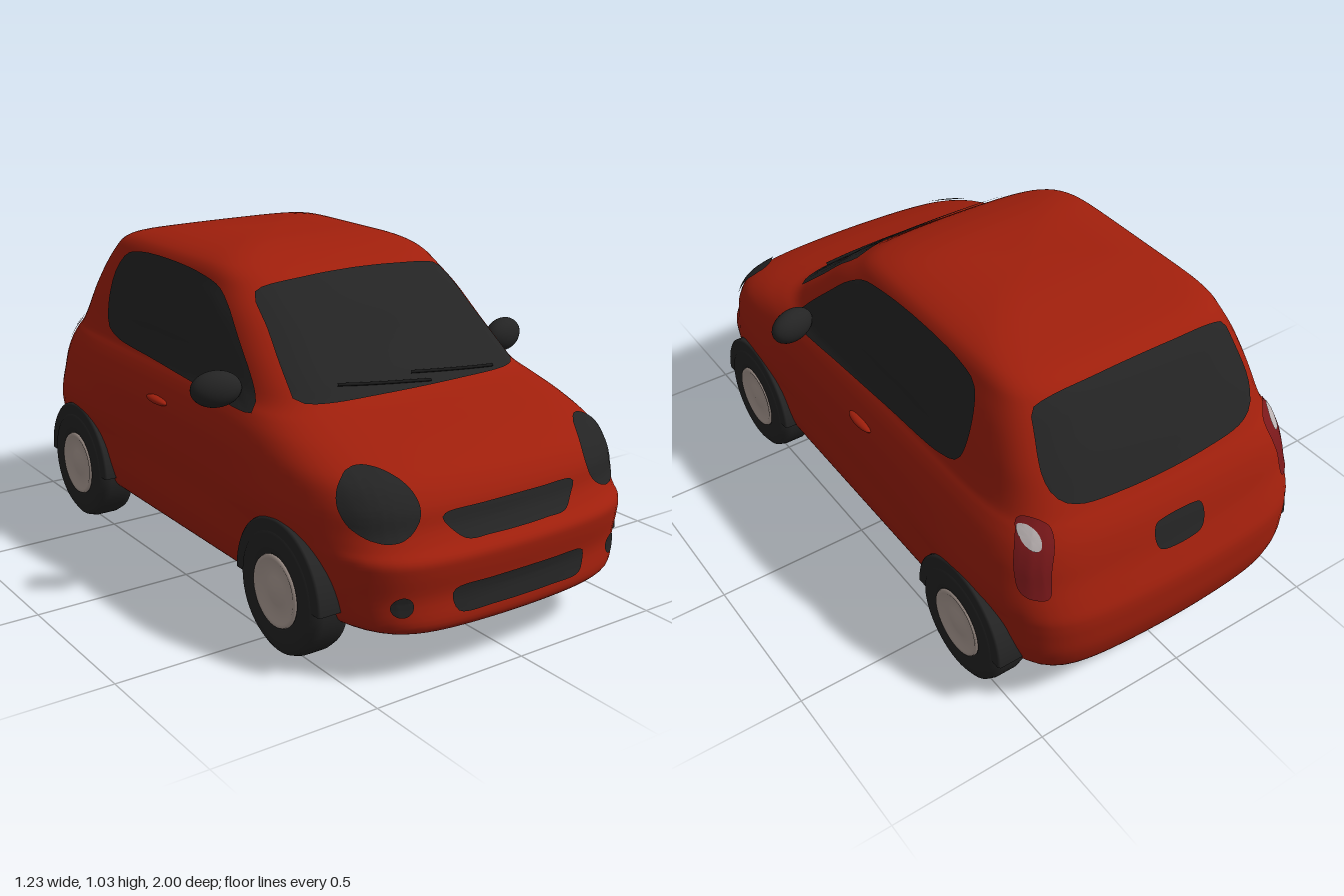
import * as THREE from 'three';

const mat = (name, color) => {
  const m = new THREE.MeshStandardMaterial({ color });
  m.name = name;
  return m;
};

export function createModel() {
  const car = new THREE.Group();
  car.name = 'smallCar';
  const paint = mat('red paint', 0xa01f0c);
  const dark = mat('dark glass and rubber', 0x242424);
  const black = mat('black trim', 0x191919);
  const alloy = mat('wheel alloy', 0xb0a098);
  const lampRed = mat('lamp red', 0x7a181a);
  const lampClear = mat('lamp clear', 0xbcb4b4);

  const add = (name, geo, material, parent = car) => {
    const m = new THREE.Mesh(geo, material);
    m.name = name;
    parent.add(m);
    return m;
  };
  const surface = (pos, idx) => {
    const g = new THREE.BufferGeometry();
    g.setAttribute('position', new THREE.Float32BufferAttribute(pos, 3));
    g.setIndex(idx);
    g.computeVertexNormals();
    return g;
  };

  // Body: horizontal slices, each [height, front z, back z, half width]
  const rows = [
    [.125, .945, -.91, .44], [.14, .98, -.95, .475], [.17, .995, -.975, .505],
    [.24, .985, -.995, .525], [.31, .995, -1.0, .53], [.35, .995, -1.0, .532],
    [.38, .965, -.995, .535], [.42, .94, -.98, .537], [.48, .922, -.957, .535],
    [.54, .87, -.94, .53], [.59, .76, -.922, .515], [.63, .64, -.90, .495],
    [.66, .555, -.88, .477], [.71, .49, -.853, .462], [.78, .40, -.815, .447],
    [.86, .305, -.765, .425], [.92, .225, -.725, .40], [.96, .165, -.685, .38],
    [.985, .10, -.62, .35], [1.005, .03, -.50, .29], [1.02, -.06, -.38, .19],
    [1.028, -.20, -.26, .03],
  ];
  const [frontCurve, backCurve, widthCurve] = [1, 2, 3].map(
    (k) => new THREE.SplineCurve(rows.map((r) => new THREE.Vector2(r[0], r[k]))));
  const N = 144, M = 84;
  const FRONT_AXLE = .6, REAR_AXLE = -.65;
  const pos = [], idx = [];
  for (let i = 0; i <= M; i++) {
    const t = i / M;
    const { x: y, y: front } = frontCurve.getPoint(t);
    const back = backCurve.getPoint(t).y, w = widthCurve.getPoint(t).y;
    const zc = (front + back) / 2, len = (front - back) / 2;
    for (let j = 0; j < N; j++) {
      // rounded rectangle in plan, with bowed ends
      const a = (j / N) * Math.PI * 2, c = Math.cos(a), s = Math.sin(a);
      const [n, bow] = s > 0 ? [6.5, .05] : [7.5, .04];
      const r = (Math.abs(c) ** n + Math.abs(s) ** n) ** (-1 / n);
      const u = c * r, v = s * r;
      const z = zc + len * (v - bow * u * u * v * Math.abs(v));
      // swell over the wheels
      const near = Math.min(Math.abs(z - FRONT_AXLE), Math.abs(z - REAR_AXLE));
      const swell = .016 * Math.exp(-((near / .22) ** 2) - ((y - .42) / .1) ** 2);
      pos.push(u * (w + swell), y, z);
    }
  }
  for (let i = 0; i < M; i++) {
    for (let j = 0; j < N; j++) {
      const a = i * N + j, b = i * N + (j + 1) % N;
      idx.push(a, a + N, b, b, a + N, b + N);
    }
  }
  const top = pos.length / 3;
  pos.push(0, 1.028, -.23);
  for (let j = 0; j < N; j++) idx.push(top, M * N + (j + 1) % N, M * N + j);
  const body = add('body', surface(pos, idx), paint);

  // Floor closes the lowest slice
  const floorPos = [...pos.slice(0, N * 3), 0, .125, 0], floorIdx = [];
  for (let j = 0; j < N; j++) floorIdx.push(N, j, (j + 1) % N);
  add('floor', surface(floorPos, floorIdx), black);

  // Point on the body at (u, v), seen along an axis from the given side
  const ray = new THREE.Raycaster();
  body.updateMatrixWorld();
  const project = (u, v, axis, side, lift) => {
    const onX = axis === 'x';
    ray.set(new THREE.Vector3(onX ? 3 * side : u, v, onX ? u : 3 * side),
      new THREE.Vector3(onX ? -side : 0, 0, onX ? 0 : -side));
    const hit = ray.intersectObject(body)[0];
    return hit && hit.point.clone().addScaledVector(hit.face.normal, lift);
  };

  // Thin panel with a smooth outline, laid on the body in rings
  const panel = (name, pts, axis, side, material, lift = .005, rings = 8) => {
    const curve = new THREE.CatmullRomCurve3(
      pts.map(([u, v]) => new THREE.Vector3(u, v, 0)), true, 'centripetal');
    const outline = curve.getSpacedPoints(72).slice(0, -1);
    const n = outline.length;
    const mid = outline.reduce((s, p) => s.add(p), new THREE.Vector3()).divideScalar(n);
    const flip = (axis === 'z' ? side < 0 : side > 0) !== THREE.ShapeUtils.isClockWise(outline);
    const p = [], f = [];
    p.push(...project(mid.x, mid.y, axis, side, lift).toArray());
    for (let r = 1; r <= rings; r++) {
      for (const o of outline) {
        let k = r / rings, q;
        do {
          q = project(mid.x + (o.x - mid.x) * k, mid.y + (o.y - mid.y) * k, axis, side, lift);
          k *= .98;
        } while (!q && k > .01);
        p.push(...q.toArray());
      }
    }
    const tri = (a, b, c) => (flip ? f.push(a, c, b) : f.push(a, b, c));
    for (let j = 0; j < n; j++) {
      const k = (j + 1) % n;
      tri(0, 1 + j, 1 + k);
      for (let r = 0; r < rings - 1; r++) {
        const a = 1 + r * n + j, b = 1 + r * n + k;
        tri(a, a + n, b);
        tri(b, a + n, b + n);
      }
    }
    return add(name, surface(p, f), material);
  };
  // Completes an outline from its right half
  const both = (half) => [...half, ...half.slice().reverse().map(([u, v]) => [-u, v])];
  const oval = (cx, cy, rx, ry) => Array.from({ length: 12 }, (_, i) => {
    const a = (i / 12) * Math.PI * 2;
    return [cx + rx * Math.cos(a), cy + ry * Math.sin(a)];
  });

  // Glass and openings at front and back
  panel('windscreen', both([[.15, .667], [.38, .667], [.398, .671], [.395, .70], [.367, .83],
    [.35, .91], [.33, .928], [.15, .948]]), 'z', 1, dark, .005, 12);
  panel('rearWindow', both([[.15, .672], [.30, .685], [.345, .71], [.365, .76], [.35, .87],
    [.335, .92], [.29, .938], [.12, .948]]), 'z', -1, dark, .005, 10);
  panel('upperGrille', both([[.1, .378], [.18, .382], [.215, .41], [.238, .445], [.225, .455],
    [.1, .459]]), 'z', 1, dark, .004);
  panel('lowerIntake', both([[.1, .188], [.21, .19], [.228, .203], [.238, .25], [.225, .263],
    [.1, .268]]), 'z', 1, dark);
  panel('plateRecess', both([[.06, .468], [.08, .48], [.09, .52], [.08, .555], [.05, .563]]),
    'z', -1, dark);

  // Wipers
  for (const [x0, x1] of [[-.27, .03], [-.02, .28]]) {
    const path = [0, .25, .5, .75, 1].map((t) =>
      project(x0 + (x1 - x0) * t, .70 - .025 * t, 'z', 1, .01));
    add('wiper', new THREE.TubeGeometry(new THREE.CatmullRomCurve3(path), 16, .005, 6), black);
  }

  const lathe = (pts, ...rest) =>
    new THREE.LatheGeometry(pts.map((p) => new THREE.Vector2(...p)), ...rest);
  const tyreGeo = lathe([[.10, -.065], [.165, -.065], [.183, -.053], [.19, -.03], [.19, .03],
    [.183, .053], [.165, .065], [.112, .065], [.10, .056]], 48);
  const hubGeo = lathe([[0, -.068], [.09, -.068], [.10, -.06], [.107, .058], [.104, .067],
    [.094, .066], [.08, .059], [.055, .057], [.042, .06], [.02, .064], [0, .065]], 48);
  // half ring between tyre and body
  const linerGeo = lathe([[.15, -.073], [.203, -.073], [.21, -.067], [.21, .067], [.203, .073],
    [.15, .073]], 40, Math.PI, Math.PI);

  for (const s of [1, -1]) {
    panel('sideWindow', [[.385, .632], [.36, .675], [.22, .81], [.14, .88], [.06, .925],
      [-.06, .945], [-.25, .952], [-.44, .945], [-.52, .925], [-.555, .87], [-.56, .76],
      [-.535, .695], [-.46, .668], [-.2, .653], [.1, .64], [.34, .629]], 'x', s, dark, .004, 10);

    // Lamps
    panel('headlight', oval(.391 * s, .484, .092, .087), 'z', 1, dark, .007);
    panel('fogLamp', oval(.378 * s, .229, .028, .029), 'z', 1, dark);
    panel('tailLight', [[.385, .65], [.43, .67], [.462, .62], [.487, .53], [.48, .46],
      [.43, .455], [.41, .54]].map(([x, y]) => [x * s, y]), 'z', -1, lampRed);
    panel('reverseLamp', oval(.435 * s, .622, .02, .03), 'z', -1, lampClear, .008, 3);

    // Door handle and mirror
    const handle = add('doorHandle', new THREE.SphereGeometry(1, 20, 12), paint);
    handle.scale.set(.018, .012, .06);
    handle.position.copy(project(-.1, .555, 'x', s, .002));
    const mirror = add('mirror', new THREE.SphereGeometry(1, 28, 18), dark);
    mirror.scale.set(.076, .054, .043);
    mirror.position.set(.54 * s, .688, .28);
    mirror.rotation.y = .25 * s;

    // Wheels with their arches
    for (const z of [FRONT_AXLE, REAR_AXLE]) {
      const wheel = new THREE.Group();
      wheel.name = 'wheel';
      add('tyre', tyreGeo, dark, wheel);
      add('hub', hubGeo, alloy, wheel);
      wheel.position.set(.491 * s, .19, z);
      wheel.rotation.z = -s * Math.PI / 2;
      car.add(wheel);

      const liner = add('archLiner', linerGeo, dark);
      liner.rotation.z = -Math.PI / 2;
      liner.position.set(.479 * s, .19, z);
    }
  }
  return car;
}
